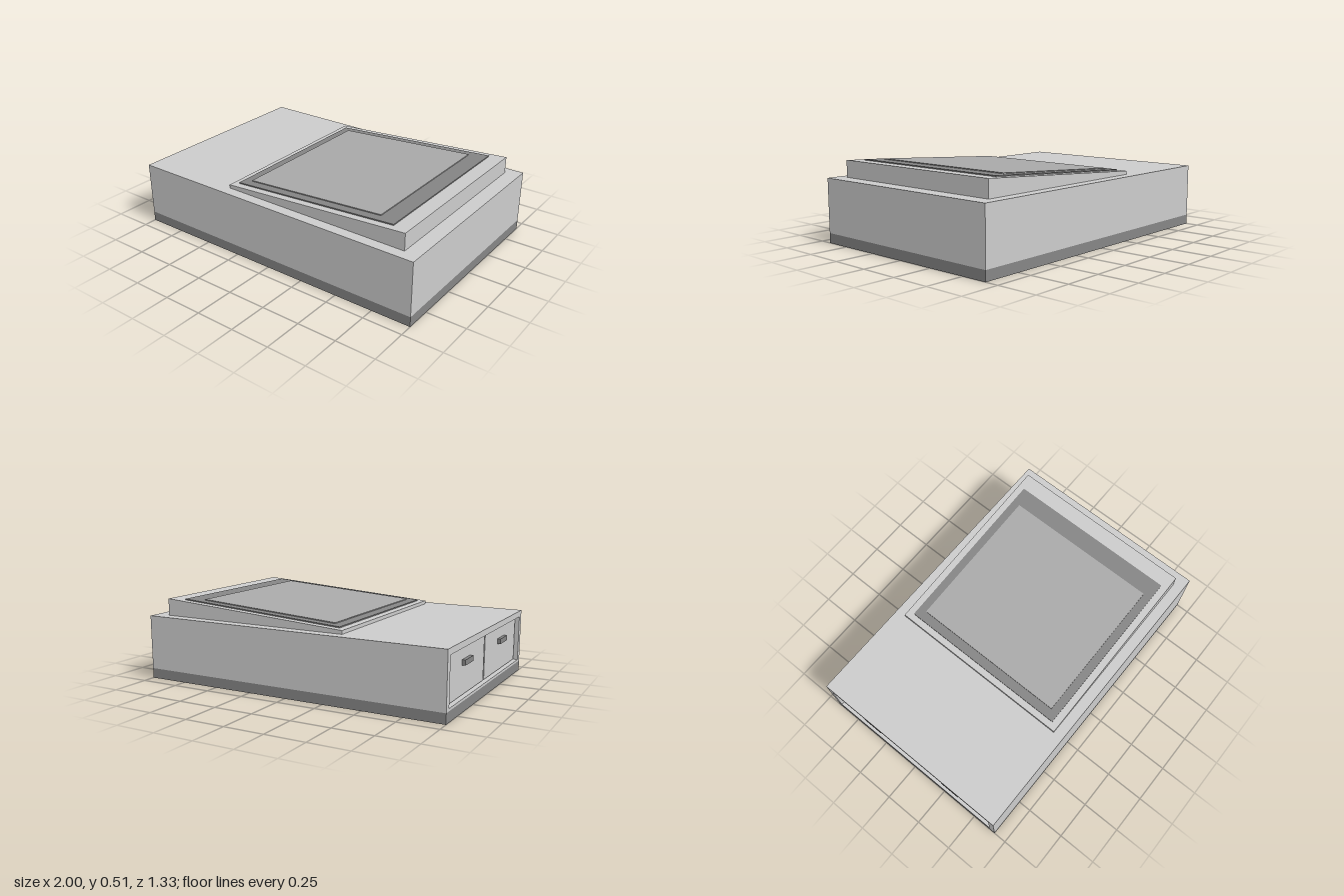
import * as THREE from 'three';

const shell = new THREE.MeshStandardMaterial({ color: 0xcccccc, flatShading: true });
const dark = new THREE.MeshStandardMaterial({ color: 0x858585, flatShading: true });
const mid = new THREE.MeshStandardMaterial({ color: 0xa9a9a9, flatShading: true });

export function createModel() {
  const model = new THREE.Group();
  model.name = 'consoleWithSlopedPad';

  function add(name, geometry, material) {
    const mesh = new THREE.Mesh(geometry, material);
    mesh.name = name;
    model.add(mesh);
    return mesh;
  }
  // Box given by its limits on each axis
  function box(name, [x0, x1], [y0, y1], [z0, z1], material) {
    const mesh = add(name, new THREE.BoxGeometry(x1 - x0, y1 - y0, z1 - z0), material);
    mesh.position.set((x0 + x1) / 2, (y0 + y1) / 2, (z0 + z1) / 2);
    return mesh;
  }
  // Side outline in x and y, extruded across z
  function prism(name, points, halfWidth, material) {
    const shape = new THREE.Shape(points.map(([x, y]) => new THREE.Vector2(x, y)));
    const geometry = new THREE.ExtrudeGeometry(shape, { depth: 2 * halfWidth, bevelEnabled: false });
    return add(name, geometry.translate(0, 0, -halfWidth), material);
  }

  const W = 0.667, baseTop = 0.063, top = 0.405, frameDepth = 0.05;

  // Plinth and main body
  box('base', [-1, 1], [0, baseTop], [-W, W], dark);
  box('body', [-1 + frameDepth, 1], [baseTop, top], [-W, W], shell);

  // Frame around the door recess at the -x end
  const y0 = 0.078, y1 = 0.367, zIn = 0.627;
  const rect = (Type, a, b, c, d) => new Type([[a, b], [c, b], [c, d], [a, d]].map(p => new THREE.Vector2(...p)));
  const frame = rect(THREE.Shape, -W, baseTop, W, top);
  frame.holes.push(rect(THREE.Path, -zIn, y0, zIn, y1));
  const frameGeometry = new THREE.ExtrudeGeometry(frame, { depth: frameDepth, bevelEnabled: false });
  frameGeometry.rotateY(Math.PI / 2).translate(-1, 0, 0);
  add('doorFrame', frameGeometry, shell);

  // Two recessed doors with bar handles
  for (const [side, s] of [['left', -1], ['right', 1]]) {
    const door = box(side + 'Door', [-0.975, -0.945], [y0 + 0.005, y1 - 0.005], [-0.303, 0.303], shell);
    door.position.z = s * 0.31;
    const handle = box(side + 'Handle', [-0.995, -0.97], [0.255, 0.287], [-0.065, 0.065], dark);
    handle.position.z = s * 0.315;
  }

  // Sloped plinth; the pad layers follow its top
  const slope = x => 0.427 + (x + 0.345) * 0.068;
  prism('slopedPlinth', [[-0.345, top], [0.905, top], [0.905, slope(0.905)], [-0.345, slope(-0.345)]], 0.6, shell);
  const layer = (name, a, b, from, to, half, material) => prism(name, [
    [a, slope(a) + from], [b, slope(b) + from], [b, slope(b) + to], [a, slope(a) + to]], half, material);
  layer('padBorder', -0.305, 0.805, -0.005, 0.007, 0.556, dark);
  layer('padSurface', -0.247, 0.69, 0.002, 0.013, 0.503, mid);

  return model;
}
